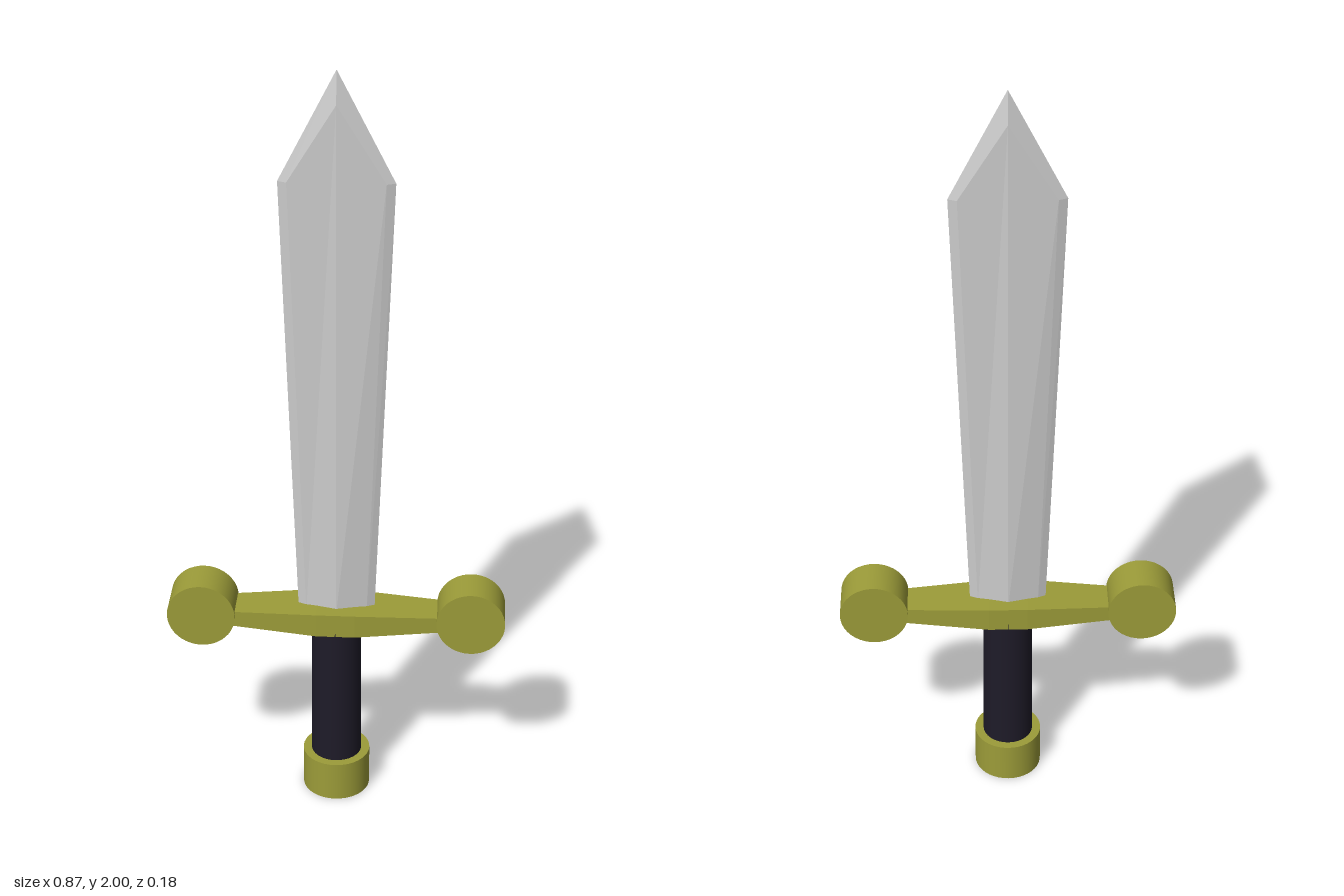
import * as THREE from 'three';

const steel = new THREE.MeshStandardMaterial({ color: 0xcccccc, flatShading: true });
const gold = new THREE.MeshStandardMaterial({ color: 0x9c9c39 });
const goldFlat = new THREE.MeshStandardMaterial({ color: 0x9c9c39, flatShading: true });
const leather = new THREE.MeshStandardMaterial({ color: 0x1e1b28 });

// Skins a list of equal-length rings of [x, y, z] corners, and caps both ends
function loft(rings) {
  const n = rings[0].length, index = [];
  for (let r = 0; r < rings.length - 1; r++) {
    for (let i = 0; i < n; i++) {
      const a = r * n + i, b = r * n + (i + 1) % n;
      index.push(a, a + n, b, b, a + n, b + n);
    }
  }
  const last = (rings.length - 1) * n;
  for (let i = 1; i < n - 1; i++) {
    index.push(0, i, i + 1, last, last + i + 1, last + i);
  }
  const g = new THREE.BufferGeometry();
  g.setAttribute('position', new THREE.Float32BufferAttribute(rings.flat(2), 3));
  g.setIndex(index);
  const flat = g.toNonIndexed();
  flat.computeVertexNormals();
  return flat;
}

// Eight-cornered blade section: two cutting edges, four bevel corners, two ridges
function bladeRing(edge, bevel, bevelZ, ridgeZ, y, ridgeY) {
  return [
    [edge, y, 0], [bevel, y, bevelZ], [0, ridgeY, ridgeZ], [-bevel, y, bevelZ],
    [-edge, y, 0], [-bevel, y, -bevelZ], [0, ridgeY, -ridgeZ], [bevel, y, -bevelZ],
  ];
}

// Rectangular guard section at a given x
function guardRing(x, bottom, top, z) {
  return [[x, bottom, -z], [x, bottom, z], [x, top, z], [x, top, -z]];
}

export function createModel() {
  const group = new THREE.Group();
  const add = (name, geometry, material, x = 0, y = 0) => {
    const mesh = new THREE.Mesh(geometry, material);
    mesh.name = name;
    mesh.position.set(x, y, 0);
    group.add(mesh);
  };

  // Blade widens to the shoulders, then closes to a point
  add('blade', loft([
    bladeRing(0.098, 0.078, 0.01, 0.03, 0.54, 0.54),
    bladeRing(0.14, 0.118, 0.009, 0.017, 1.725, 1.92),
    bladeRing(0, 0, 0, 0, 2, 2),
  ]), steel);

  // Crossguard, thickest in the middle
  add('crossguard', loft([
    guardRing(-0.3, 0.513, 0.552, 0.043),
    guardRing(-0.05, 0.499, 0.563, 0.064),
    guardRing(0.05, 0.499, 0.563, 0.064),
    guardRing(0.3, 0.513, 0.552, 0.043),
  ]), goldFlat);

  // Round discs at the guard ends
  const disc = new THREE.CylinderGeometry(0.088, 0.088, 0.106, 40).rotateX(Math.PI / 2);
  for (const side of [-1, 1]) {
    add(side > 0 ? 'leftGuardDisc' : 'rightGuardDisc', disc, gold, side * 0.348, 0.542);
  }

  // Grip and pommel
  add('grip', new THREE.CylinderGeometry(0.064, 0.066, 0.43, 32), leather, 0, 0.305);
  add('pommel', new THREE.CylinderGeometry(0.088, 0.088, 0.11, 40), gold, 0, 0.055);

  return group;
}
